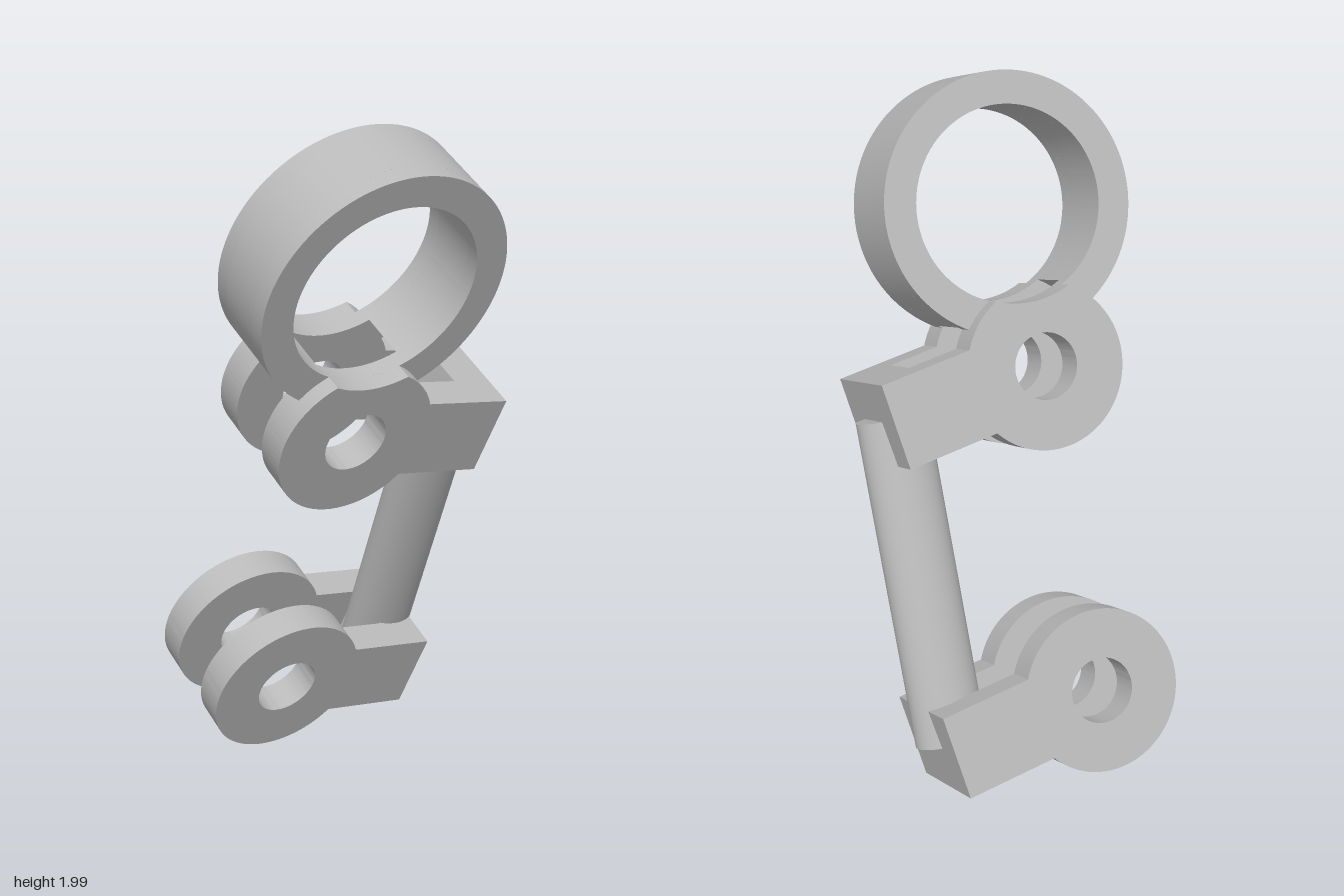
import * as THREE from 'three';
import { toCreasedNormals } from 'three/addons/utils/BufferGeometryUtils.js';

const FRONT = -0.193, PLATE = 0.1, GAP = 0.15;      // depth layout of both forks
const MID = FRONT - PLATE - GAP / 2;
const LUG_R = 0.24, HOLE_R = 0.096, ARM = 0.125, END = 0.482;
const RING_R = 0.375, RING_HOLE = 0.28, RING_L = 0.25, CLEAR_R = 0.255;
const LOWER = new THREE.Vector2(-0.107, 0.143);
const UPPER = new THREE.Vector2(-0.2555, 1.093);
const RING = new THREE.Vector2(-0.321, 1.556);

// angle at the centre of circle r1 to its crossing with circle r2 at distance d
const crossing = (r1, r2, d) => Math.acos((d * d + r1 * r1 - r2 * r2) / (2 * d * r1));

export function createModel() {
  const metal = new THREE.MeshStandardMaterial({ color: 0xb8b8b8 });
  metal.name = 'grey metal';

  const model = new THREE.Group();
  model.name = 'forkedRingLink';
  const tilted = new THREE.Group();
  tilted.name = 'tiltedAssembly';
  model.add(tilted);

  const add = (name, geometry, parent) => {
    const mesh = new THREE.Mesh(geometry, metal);
    mesh.name = name;
    parent.add(mesh);
    return mesh;
  };
  const extrude = (shape, z0, z1) => {
    const g = new THREE.ExtrudeGeometry(shape, { depth: z1 - z0, bevelEnabled: false, curveSegments: 64 });
    g.translate(0, 0, z0);
    return toCreasedNormals(g, 0.5);
  };
  const hole = (shape, r) => {
    const p = new THREE.Path();
    p.absarc(0, 0, r, 0, Math.PI * 2, true);
    shape.holes.push(p);
  };

  const toRing = RING.clone().sub(UPPER);
  const dist = toRing.length(), axis = toRing.angle();

  // Round eye with a straight arm; the upper one is trimmed by the ring's bore
  const lugShape = (trimmed) => {
    const s = new THREE.Shape();
    const a = Math.asin(ARM / LUG_R);
    s.moveTo(END, -ARM);
    s.lineTo(END, ARM);
    if (trimmed) {
      const b = crossing(LUG_R, RING_HOLE, dist), c = crossing(RING_HOLE, LUG_R, dist);
      s.absarc(0, 0, LUG_R, a, axis - b, false);
      s.absarc(toRing.x, toRing.y, RING_HOLE, axis + Math.PI + c, axis + Math.PI - c, true);
      s.absarc(0, 0, LUG_R, axis + b, Math.PI * 2 - a, false);
    } else {
      s.absarc(0, 0, LUG_R, a, Math.PI * 2 - a, false);
    }
    s.closePath();
    hole(s, HOLE_R);
    return s;
  };

  // Fork: two lugs joined by a block at the arm end
  const addFork = (name, center, trimmed) => {
    const fork = new THREE.Group();
    fork.name = name;
    fork.position.set(center.x, center.y, MID);
    const shape = lugShape(trimmed);
    add('frontLug', extrude(shape, GAP / 2, GAP / 2 + PLATE), fork);
    add('backLug', extrude(shape, -GAP / 2 - PLATE, -GAP / 2), fork);
    const depth = 0.125;
    add('forkBridge', new THREE.BoxGeometry(depth, ARM * 2, GAP), fork).position.x = END - depth / 2;
    tilted.add(fork);
  };
  addFork('lowerFork', LOWER, false);
  addFork('upperFork', UPPER, true);

  // Oval rod from the middle of one fork end to the other
  const span = UPPER.clone().sub(LOWER);
  const rod = add('connectingRod', new THREE.CylinderGeometry(1, 1, span.length(), 64), tilted);
  rod.scale.set(0.107, 1, 0.081);
  rod.position.set((LOWER.x + UPPER.x) / 2 + 0.427, (LOWER.y + UPPER.y) / 2, MID);
  rod.rotation.z = span.angle() - Math.PI / 2;

  // Ring: full outer layers, and a middle layer with a round clearance bite
  const ring = new THREE.Group();
  ring.name = 'ring';
  ring.position.set(RING.x, RING.y, MID);
  tilted.add(ring);
  const full = new THREE.Shape();
  full.absarc(0, 0, RING_R, 0, Math.PI * 2, false);
  hole(full, RING_HOLE);
  add('ringFrontLayer', extrude(full, GAP / 2, RING_L / 2), ring);
  add('ringBackLayer', extrude(full, -RING_L / 2, -GAP / 2), ring);

  const down = axis + Math.PI;
  const outer = crossing(RING_R, CLEAR_R, dist), inner = crossing(RING_HOLE, CLEAR_R, dist);
  const biteOuter = crossing(CLEAR_R, RING_R, dist), biteInner = crossing(CLEAR_R, RING_HOLE, dist);
  const open = new THREE.Shape();
  open.absarc(0, 0, RING_R, down + outer, down - outer + Math.PI * 2, false);
  open.absarc(-toRing.x, -toRing.y, CLEAR_R, axis + biteOuter, axis + biteInner, true);
  open.absarc(0, 0, RING_HOLE, down - inner + Math.PI * 2, down + inner, true);
  open.absarc(-toRing.x, -toRing.y, CLEAR_R, axis - biteInner, axis - biteOuter, true);
  add('ringMiddleLayer', extrude(open, -GAP / 2, GAP / 2), ring);

  // Lean the whole assembly
  const u = new THREE.Vector3(0.8223, -0.137, -0.5522).normalize();
  const n = new THREE.Vector3(0.4625, -0.4044, 0.789);
  const v = n.clone().cross(u).normalize();
  n.crossVectors(u, v);
  tilted.quaternion.setFromRotationMatrix(new THREE.Matrix4().makeBasis(u, v, n));
  return model;
}
